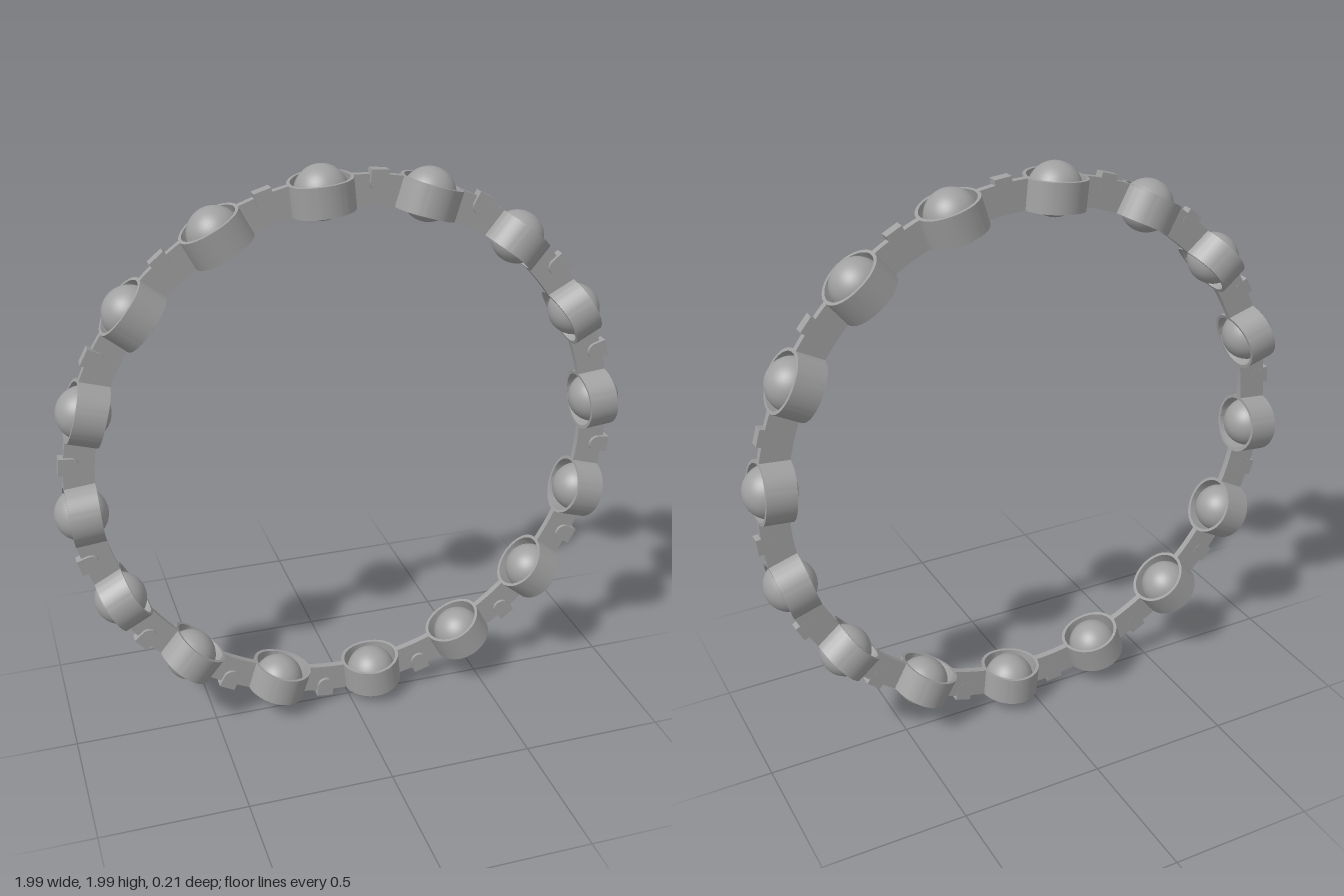
import * as THREE from 'three';
import { toCreasedNormals } from 'three/addons/utils/BufferGeometryUtils.js';

const COUNT = 16, STEP = (Math.PI * 2) / COUNT, START = THREE.MathUtils.degToRad(5.5);
const R_IN = 0.857, R_OUT = 0.957;      // cage band radii
const BALL_PATH = 0.912, BALL_R = 0.088;
const POCKET_OUT = 0.105, POCKET_IN = 0.094;

// Round pocket whose rims follow the inner and outer circles of the band
function pocketGeometry() {
  const profile = [
    [POCKET_OUT, R_IN], [POCKET_OUT, R_OUT], [POCKET_IN, R_OUT], [POCKET_IN, R_IN], [POCKET_OUT, R_IN],
  ].map(([x, y]) => new THREE.Vector2(x, y));
  const geo = new THREE.LatheGeometry(profile, 64);
  const p = geo.attributes.position;
  for (let i = 0; i < p.count; i++) {
    const r = p.getY(i), x = p.getX(i);
    p.setY(i, Math.sqrt(r * r - x * x));
  }
  return toCreasedNormals(geo, 0.6);
}

// Thin curved web joining two neighbouring pockets
function webGeometry() {
  const half = (r) => STEP / 2 - Math.asin((POCKET_OUT - 0.005) / r);
  const a = half(R_OUT), b = half(R_IN), up = Math.PI / 2;
  const shape = new THREE.Shape();
  shape.absarc(0, 0, R_OUT, up - a, up + a, false);
  shape.absarc(0, 0, R_IN, up + b, up - b, true);
  shape.closePath();
  const geo = new THREE.ExtrudeGeometry(shape, { depth: 0.024, bevelEnabled: false, curveSegments: 8 });
  return geo.translate(0, 0, -0.012);
}

// Small tab with a rounded inner end, standing proud of the web
function tabGeometry() {
  const w = 0.029, top = 0.974, mid = 0.934;
  const shape = new THREE.Shape();
  shape.moveTo(w, top);
  shape.lineTo(-w, top);
  shape.lineTo(-w, mid);
  shape.absarc(0, mid, w, Math.PI, Math.PI * 2, false);
  shape.closePath();
  const geo = new THREE.ExtrudeGeometry(shape, { depth: 0.036, bevelEnabled: false, curveSegments: 16 });
  return geo.translate(0, 0, -0.0125);
}

export function createModel() {
  const steel = new THREE.MeshStandardMaterial({ name: 'steel grey', color: 0xa0a0a0 });
  const pocket = pocketGeometry(), web = webGeometry(), tab = tabGeometry();
  const ball = new THREE.SphereGeometry(BALL_R, 40, 24).translate(0, BALL_PATH, 0);

  const model = new THREE.Group();
  model.name = 'ballCage';
  const ring = new THREE.Group();
  ring.name = 'ring';
  ring.position.y = 1;
  model.add(ring);

  const add = (name, geo, angle) => {
    const mesh = new THREE.Mesh(geo, steel);
    mesh.name = name;
    mesh.rotation.z = angle;
    ring.add(mesh);
  };

  for (let i = 0; i < COUNT; i++) {
    const angle = START + i * STEP;
    add('ball', ball, angle);
    add('pocket', pocket, angle);
    add('web', web, angle + STEP / 2);
    add('tab', tab, angle + STEP / 2);
  }
  return model;
}
